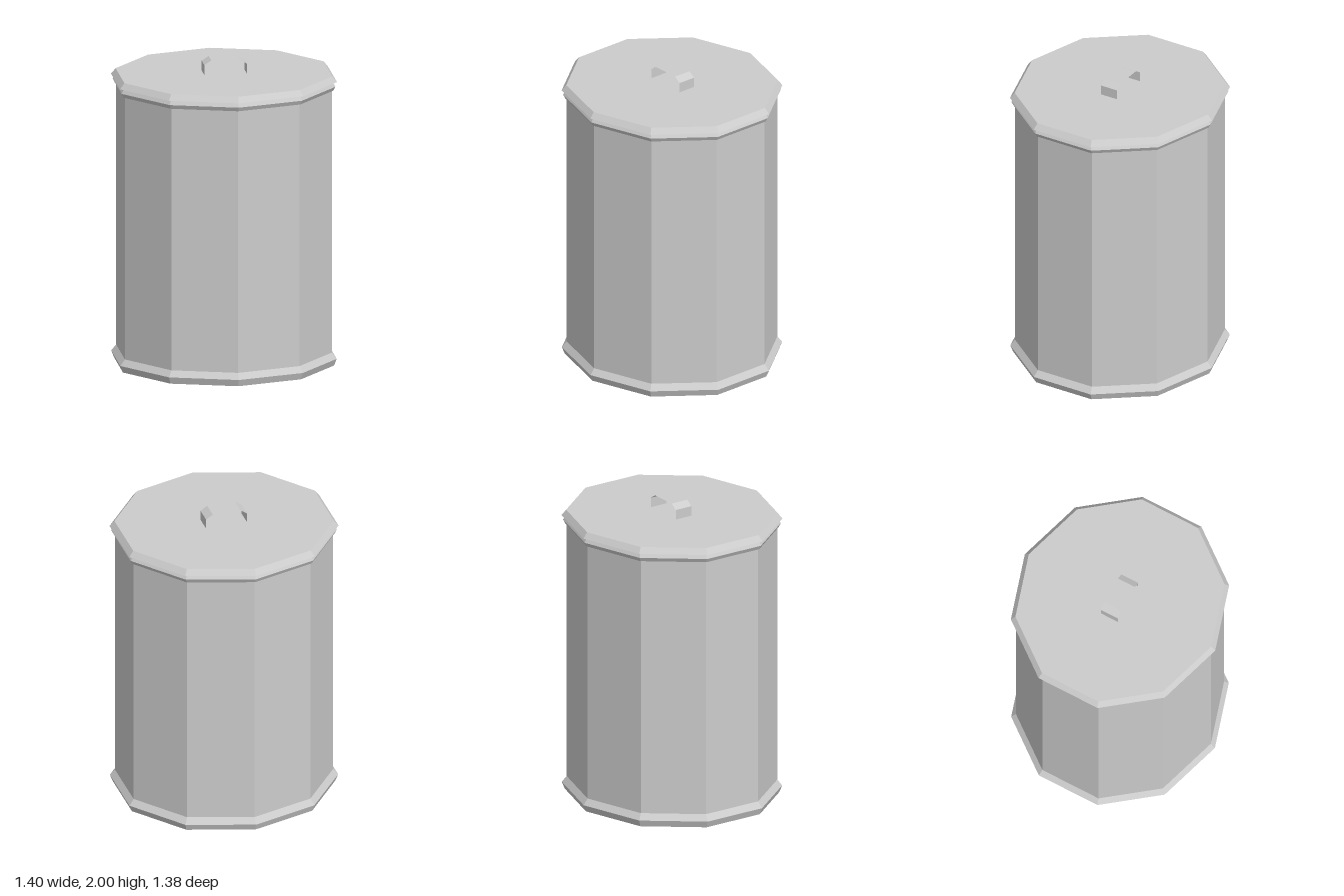
import * as THREE from 'three';

const SIDES = 10;
const material = new THREE.MeshStandardMaterial({
  color: 0xcccccc, flatShading: true, side: THREE.DoubleSide,
});

function addPart(group, name, geometry) {
  const flat = geometry.index ? geometry.toNonIndexed() : geometry;
  flat.computeVertexNormals();
  const mesh = new THREE.Mesh(flat, material);
  mesh.name = name;
  group.add(mesh);
  return mesh;
}

// Ten-sided ring from [radius, height] pairs, slightly wider in x than in z
function ring(profile) {
  const points = profile.map(([r, y]) => new THREE.Vector2(r, y));
  return new THREE.LatheGeometry(points, SIDES).scale(1.065, 1, 1);
}

// Thin strap: a path in x and y swept straight along z
function strap(path, zBack, zFront) {
  const positions = [];
  for (let i = 0; i < path.length - 1; i++) {
    const [x0, y0] = path[i];
    const [x1, y1] = path[i + 1];
    positions.push(
      x0, y0, zBack, x0, y0, zFront, x1, y1, zFront,
      x0, y0, zBack, x1, y1, zFront, x1, y1, zBack,
    );
  }
  const geometry = new THREE.BufferGeometry();
  geometry.setAttribute('position', new THREE.Float32BufferAttribute(positions, 3));
  return geometry;
}

export function createModel() {
  const group = new THREE.Group();
  group.name = 'lidded bin';

  // Hollow body, open at the bottom
  addPart(group, 'body', ring([[0.66, 0.015], [0.66, 1.865]]));

  // Flared foot band
  addPart(group, 'footBand', ring([[0.66, 0.015], [0.673, 0], [0.69, 0.045], [0.66, 0.085]]));

  // Rolled rim below the lid
  addPart(group, 'rim', ring([[0.66, 1.81], [0.668, 1.81], [0.682, 1.837], [0.666, 1.866]]));

  // Lid with bevelled edge
  addPart(group, 'lid', ring([[0.66, 1.866], [0.692, 1.868], [0.663, 1.905], [0, 1.905]]));

  // Strap handle, following the arch from the right end to the left end
  addPart(group, 'handle', strap(
    [[-0.135, 1.905], [-0.135, 1.97], [-0.09, 2], [0.095, 2], [0.14, 1.97], [0.14, 1.905]],
    -0.065, 0.057,
  ));

  return group;
}
